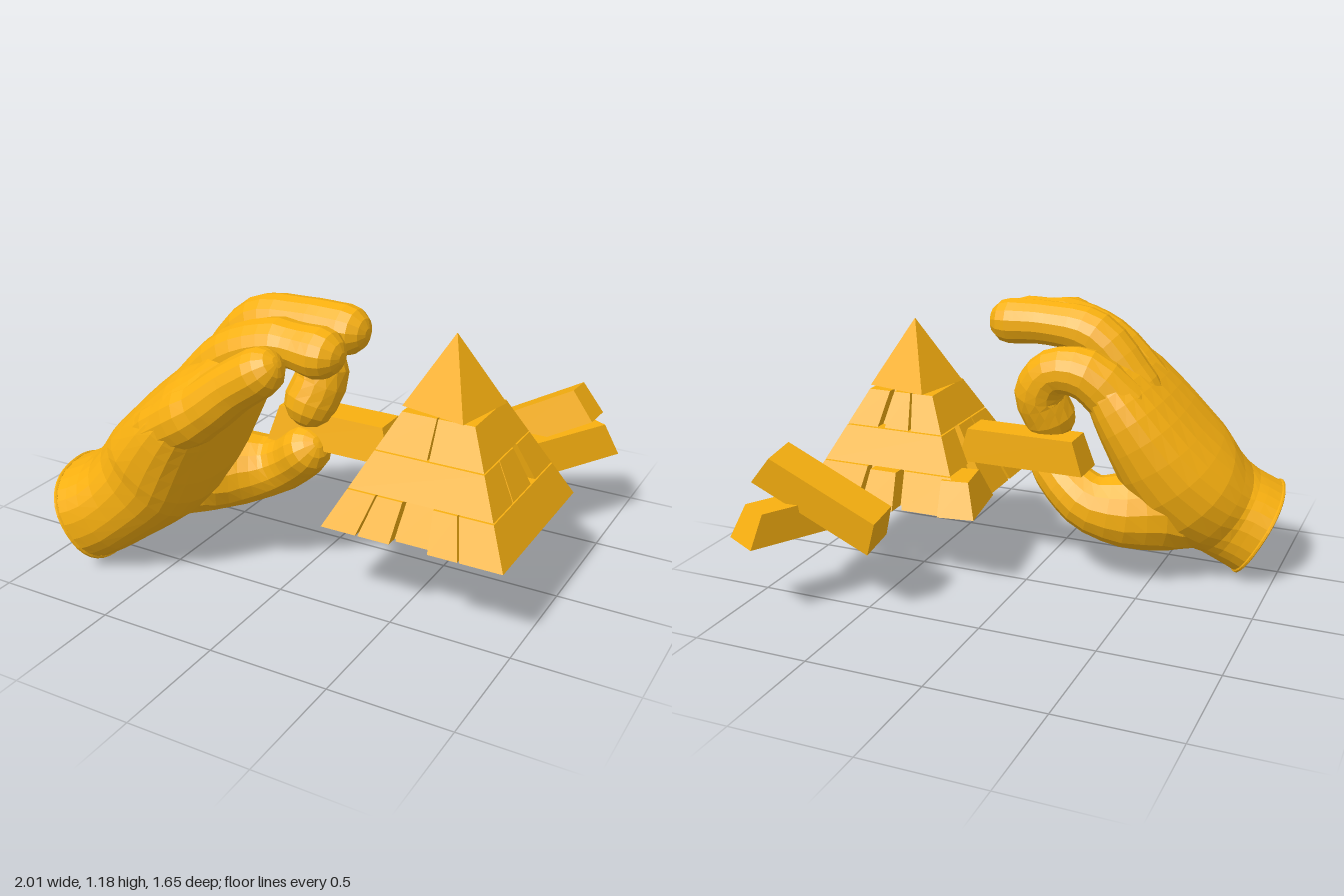
import * as THREE from 'three';

const mat = new THREE.MeshStandardMaterial({ color: 0xf8b010, flatShading: true, side: THREE.DoubleSide });
const V = (x, y, z) => new THREE.Vector3(x, y, z);

function add(parent, name, geo) {
  const m = new THREE.Mesh(geo, mat);
  m.name = name;
  parent.add(m);
  return m;
}

// Loft of rounded sections. Each row: x, y, z, half thickness, half width.
function limb(rows, { sides = 14, steps = 12, widthAxis = V(0, 0, 1), square = 1, capStart = true } = {}) {
  const path = new THREE.CatmullRomCurve3(rows.map(r => V(r[0], r[1], r[2])));
  const size = new THREE.CatmullRomCurve3(rows.map(r => V(r[3], r[4] ?? r[3], 0)));
  const rings = [];
  const ring = (t, shift, scale) => {
    const T = path.getTangent(t), s = size.getPoint(t), c = path.getPoint(t);
    const B = widthAxis.clone().addScaledVector(T, -widthAxis.dot(T)).normalize();
    const N = B.clone().cross(T);
    c.addScaledVector(T, shift * s.x);
    const pts = [];
    for (let j = 0; j < sides; j++) {
      const a = (j / sides) * Math.PI * 2, ca = Math.cos(a), sa = Math.sin(a);
      const p = c.clone();
      p.addScaledVector(N, Math.sign(ca) * Math.abs(ca) ** square * s.x * scale);
      p.addScaledVector(B, Math.sign(sa) * Math.abs(sa) ** square * s.y * scale);
      pts.push(p);
    }
    rings.push(pts);
  };
  const cap = [0.3, 0.6, 0.85, 1].map(k => k * Math.PI / 2);
  if (capStart) [...cap].reverse().forEach(a => ring(0, -Math.sin(a), Math.cos(a)));
  for (let i = 0; i <= steps; i++) ring(i / steps, 0, 1);
  cap.forEach(a => ring(1, Math.sin(a), Math.cos(a)));
  const idx = [];
  for (let i = 0; i < rings.length - 1; i++)
    for (let j = 0; j < sides; j++) {
      const a = i * sides + j, b = i * sides + (j + 1) % sides;
      idx.push(a, b, b + sides, a, b + sides, a + sides);
    }
  const g = new THREE.BufferGeometry().setFromPoints(rings.flat());
  g.setIndex(idx);
  g.computeVertexNormals();
  g.userData.firstRing = rings[0];
  return g;
}

// Box whose corners are moved by a rule; the rule gets 0 or 1 for each axis.
function block(rule) {
  const g = new THREE.BoxGeometry(1, 1, 1), p = g.attributes.position;
  for (let i = 0; i < p.count; i++) {
    const v = rule(p.getX(i) + 0.5, p.getY(i) + 0.5, p.getZ(i) + 0.5);
    p.setXYZ(i, v.x, v.y, v.z);
  }
  g.computeVertexNormals();
  return g;
}

// Loose stone: a bar with sloping ends and one sloping long side.
function stone(length, height, width, slope = 0.045) {
  return block((a, b, c) => V((a - 0.5) * (length - 2 * slope * b), (b - 0.5) * height,
    (c - 0.5) * width - (c ? slope * b * 0.6 : 0)));
}

function makeHand() {
  const hand = new THREE.Group();
  hand.name = 'hand';

  // Palm and wrist, open at the wrist
  const palm = limb([
    [-0.89, 0.2, 0.545, 0.21, 0.275],
    [-0.75, 0.28, 0.515, 0.205, 0.29],
    [-0.58, 0.445, 0.435, 0.24, 0.365],
    [-0.41, 0.69, 0.405, 0.19, 0.395],
    [-0.3, 0.84, 0.405, 0.145, 0.38],
    [-0.23, 0.92, 0.405, 0.1, 0.35],
  ], { sides: 26, steps: 14, widthAxis: V(0, -0.13, 1).normalize(), square: 0.85, capStart: false });
  add(hand, 'palm', palm);
  add(hand, 'wristRim', new THREE.TubeGeometry(
    new THREE.CatmullRomCurve3(palm.userData.firstRing, true), 40, 0.008, 6, true));

  // Fingers
  add(hand, 'indexFinger', limb([
    [-0.38, 0.79, 0.16, 0.12], [-0.22, 0.93, 0.12, 0.11], [-0.08, 0.93, 0.11, 0.1],
    [-0.01, 0.83, 0.13, 0.11], [-0.04, 0.715, 0.17, 0.112],
  ]));
  add(hand, 'middleFinger', limb([
    [-0.4, 0.84, 0.29, 0.1], [-0.2, 1.06, 0.28, 0.105, 0.11], [0, 1.095, 0.28, 0.095, 0.105], [0.18, 1.09, 0.28, 0.1, 0.105],
  ]));
  add(hand, 'ringFinger', limb([
    [-0.42, 0.78, 0.49, 0.1], [-0.19, 0.99, 0.485, 0.11, 0.115], [0.02, 1.07, 0.48, 0.1, 0.11], [0.18, 1.06, 0.48, 0.1, 0.11],
  ]));
  add(hand, 'littleFinger', limb([
    [-0.42, 0.7, 0.68, 0.11], [-0.2, 0.84, 0.69, 0.11], [-0.06, 0.955, 0.69, 0.1], [0.05, 1.03, 0.69, 0.095, 0.1],
  ]));

  // Thumb and its broad heel
  add(hand, 'thumb', limb([
    [-0.66, 0.295, 0.38, 0.165], [-0.53, 0.33, 0.26, 0.185], [-0.39, 0.335, 0.17, 0.165], [-0.25, 0.36, 0.13, 0.13],
    [-0.15, 0.42, 0.14, 0.115], [-0.07, 0.485, 0.17, 0.108],
  ]));
  return hand;
}

function makePyramid() {
  const pyramid = new THREE.Group();
  pyramid.name = 'pyramid';
  pyramid.position.set(0.577, 0, 0.13);
  const top = 1.1, half = y => 0.51 * (top - y);

  // Per tier: blocks on front, right, back and left, as [start, end, pulled out]
  const whole = [[-1, 1]];
  const tiers = [
    { y0: 0.355, y1: 0.503, depth: 0.1, core: true, sides: [
      [[-1, -0.6], [-0.575, -0.22], [-0.19, 0.17, -0.035], [0.2, 0.52], [0.545, 1]],
      whole,
      [[-1, -0.3], [-0.2, 0.2, 0.03], [0.28, 1]],
      [[-0.22, 0.35], [0.4, 1]]] },
    { y0: 0.508, y1: 0.653, depth: 0.1, core: false, sides: [
      whole, [[-1, -0.38], [-0.355, 0.24], [0.4, 1]], whole, [[-1, -0.42], [-0.24, 0.3], [0.33, 1]]] },
    { y0: 0.658, y1: 0.803, depth: 0.07, core: true, sides: [
      [[-1, -0.03], [0.01, 1]], whole, [[-1, -0.35], [-0.2, 0.3], [0.36, 1]], whole] },
  ];
  for (const { y0, y1, depth, core, sides } of tiers) {
    sides.forEach((blocks, k) => blocks.forEach(([u0, u1, out = 0]) => {
      // Corners are mitred, all other joints run straight inwards
      const m = add(pyramid, 'pyramidBlock', block((a, b, c) => {
        const h = half(b ? y1 : y0), inner = h - (c ? 0 : depth), u = a ? u1 : u0;
        return V(u * (Math.abs(u) === 1 ? inner : h), b ? y1 : y0, inner + out);
      }));
      m.rotation.y = k * Math.PI / 2;
    }));
    // Recessed filling behind the blocks
    if (core) {
      const g = new THREE.CylinderGeometry((half(y1) - 0.05) * Math.SQRT2, (half(y0) - 0.05) * Math.SQRT2, y1 - y0, 4);
      g.rotateY(Math.PI / 4);
      add(pyramid, 'pyramidCore', g).position.y = (y0 + y1) / 2;
    }
  }

  // Capstone, slightly twisted
  const y = 0.808, cone = new THREE.ConeGeometry(0.203, top - y, 4);
  cone.rotateY(Math.PI / 4 - 0.21);
  add(pyramid, 'capstone', cone).position.y = (y + top) / 2;
  return pyramid;
}

export function createModel() {
  const model = new THREE.Group();
  model.add(makeHand(), makePyramid());

  // Loose stones: name, size, position, rotation
  const stones = [
    ['heldStone', [0.57, 0.15, 0.17], [0.045, 0.585, 0.11], [0, 0, 0]],
    ['leaningStone', [0.56, 0.15, 0.18, 0.03], [0.655, 0.502, -0.545], [-0.12, 0.05, 0.5]],
    ['fallenStone', [0.57, 0.14, 0.18, 0.06], [0.775, 0.41, -0.535], [0, 1.06, 0]],
    ['shiftedStone', [0.31, 0.14, 0.16, 0.07], [0.24, 0.425, -0.1], [0, -1.42, 0]],
  ];
  for (const [name, size, pos, rot] of stones) {
    const m = add(model, name, stone(...size));
    m.position.set(...pos);
    m.rotation.set(...rot);
  }
  return model;
}
